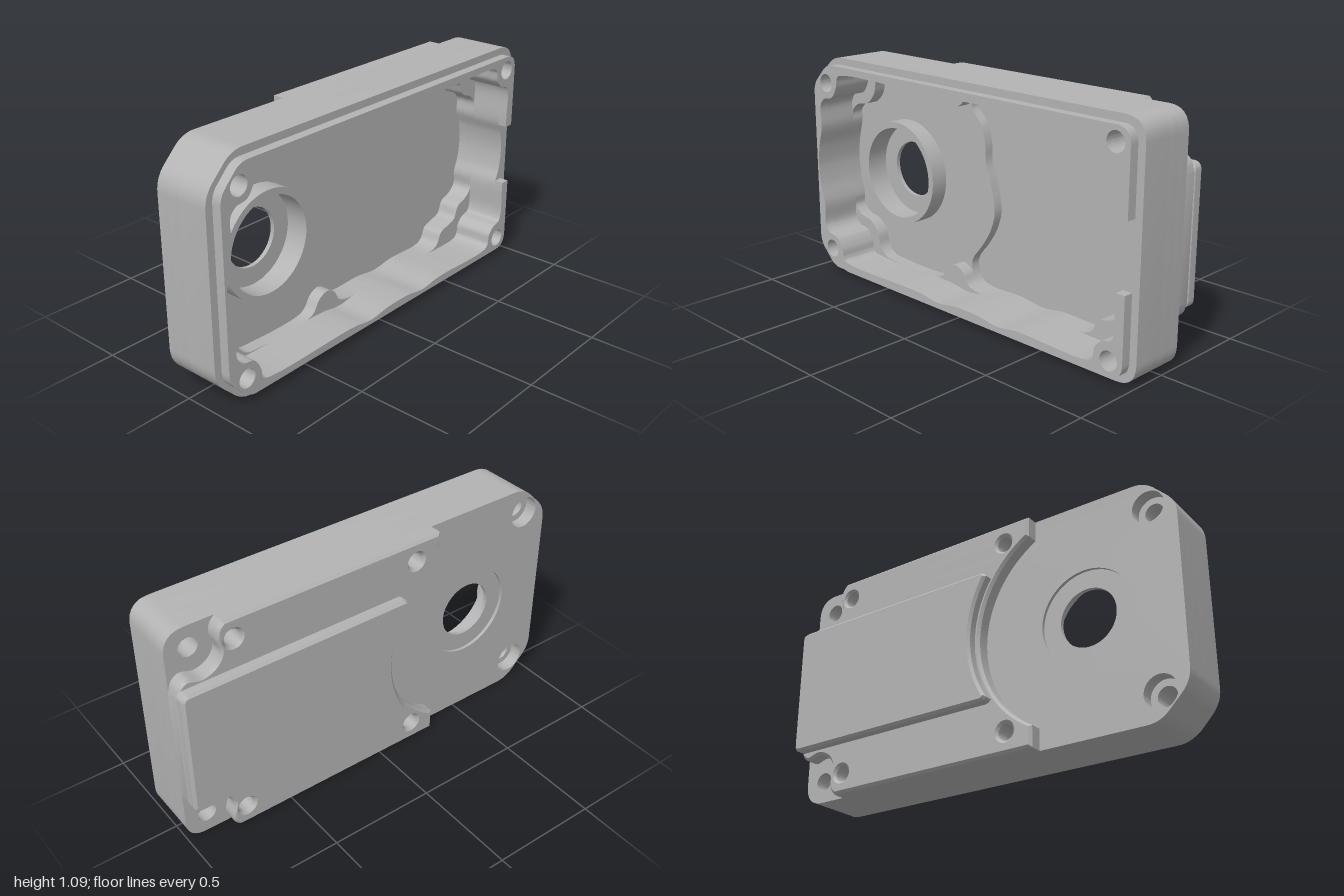
import * as THREE from 'three';
import { toCreasedNormals } from 'three/addons/utils/BufferGeometryUtils.js';

const H = 1.09;                                   // housing height
const BORE = [-0.555, H / 2];                     // bearing centre
const grey = new THREE.MeshStandardMaterial({ color: 0xb3b3b3 });
grey.name = 'cast grey';

const v2 = ([x, y]) => new THREE.Vector2(x, y);
const flip = ([x, y, r]) => [x, H - y, r];
// closes a top-half list with its reflection in the bottom half
const mirrored = (pts) => [...pts, ...pts.map(flip).reverse()];

// polygon with rounded corners, points are [x, y, radius]
function roundPoly(pts) {
  const s = new THREE.Shape(), n = pts.length;
  pts.forEach((p, i) => {
    const c = v2(p), r = p[2] || 0;
    const a = v2(pts[(i + n - 1) % n]).sub(c).setLength(r).add(c);
    const b = v2(pts[(i + 1) % n]).sub(c).setLength(r).add(c);
    if (i === 0) s.moveTo(a.x, a.y); else s.lineTo(a.x, a.y);
    if (r) s.quadraticCurveTo(c.x, c.y, b.x, b.y);
  });
  return s.getPoints(8);
}

// smooth curve through points
function smooth(pts, closed = true, n = 220) {
  const c = new THREE.CatmullRomCurve3(pts.map(([x, y]) => new THREE.Vector3(x, y, 0)), closed, 'centripetal');
  const out = c.getPoints(n).map((p) => new THREE.Vector2(p.x, p.y));
  if (closed) out.pop();
  return out;
}

function circle([x, y], r) {
  return new THREE.Path().absarc(x, y, r, 0, Math.PI * 2).getPoints(32).slice(0, -1);
}

// slab between two z levels, with optional chamfered edges
function slab(name, outline, holes, z0, z1, bevel = 0) {
  const s = new THREE.Shape(outline);
  s.holes = holes.map((h) => new THREE.Path(h));
  const g = new THREE.ExtrudeGeometry(s, {
    depth: z1 - z0 - 2 * bevel, bevelEnabled: bevel > 0, bevelSize: bevel,
    bevelThickness: bevel, bevelOffset: -bevel, bevelSegments: 1, curveSegments: 12,
  });
  g.translate(0, 0, z0 + bevel);
  const m = new THREE.Mesh(toCreasedNormals(g, 0.5), grey);
  m.name = name;
  return m;
}

export function createModel() {
  const group = new THREE.Group();
  group.name = 'gearboxCover';

  // outlines
  const body = roundPoly(mirrored([[1, H, 0.1], [-0.86, H, 0.06], [-1, 0.95, 0.06]]));

  // cavity contours: the upper one hugs the corner holes, the lower one adds the wide bosses
  const rightWall = [[0.957, H / 2], [0.945, 0.64], [0.92, 0.71]];
  const leftWall = [[-0.92, 0.74], [-0.945, 0.64], [-0.955, 0.56]];
  const rightBosses = [
    [0.92, 0.78], [0.88, 0.82], [0.82, 0.845], [0.79, 0.905], [0.74, 0.925], [0.68, 0.945],
    [0.65, 1.0], [0.61, 1.02], [0.4, 1.02], [0.28, 1.035], [0.15, 1.02], [-0.04, 1.02], [-0.1, 1.0],
  ];
  const close = (pts) => mirrored(pts).slice(0, -1);   // first point sits on the mirror line
  const upper = smooth(close([
    ...rightWall, [0.92, 0.86], [0.905, 0.9], [0.86, 0.915], [0.825, 0.95], [0.815, 1.0], [0.79, 1.02],
    [0.4, 1.02], [0.28, 1.035], [0.17, 1.02], [0.02, 1.02], [-0.1, 1.035], [-0.22, 1.02], [-0.72, 1.02],
    [-0.78, 1.005], [-0.795, 0.95], [-0.83, 0.9], [-0.89, 0.885], [-0.92, 0.85], ...leftWall,
  ]), true, 300);
  const lower = smooth(close([
    ...rightWall, ...rightBosses, [-0.13, 0.95], [-0.18, 0.925], [-0.23, 0.945], [-0.27, 1.0], [-0.32, 1.02],
    [-0.62, 1.02], [-0.69, 1.01], [-0.73, 0.97], [-0.75, 0.9], [-0.8, 0.85], [-0.88, 0.83], [-0.92, 0.79],
    ...leftWall,
  ]), true, 300);
  // deep pocket with its wavy left edge
  const right = [...rightWall, ...rightBosses];
  const pocket = smooth([
    ...right, [-0.13, 0.93], [-0.07, 0.85], [-0.045, 0.77], [-0.04, 0.68], [-0.01, 0.59], [0.017, 0.46],
    [-0.01, 0.36], [-0.06, 0.28], [-0.13, 0.18], ...right.slice(1).map(flip).reverse(),
  ], true, 260);

  // holes
  const both = (p) => [p, flip(p)];
  const leftHoles = both([-0.87, 0.965]), rightHoles = both([0.895, 0.99]);
  const bolts = [...leftHoles, ...rightHoles].map((p) => circle(p, 0.044));
  const counterbores = leftHoles.map((p) => circle(p, 0.075));
  const screws = [...both([-0.18, 0.995]), ...both([0.73, 0.995])].map((p) => circle(p, 0.038));

  // housing, back to front
  group.add(slab('backPlate', body,
    [pocket, circle(BORE, 0.24), ...counterbores, ...rightHoles.map((p) => circle(p, 0.044)), ...screws], -0.1, -0.04));
  group.add(slab('lowerWall', body, [lower, ...bolts], -0.04, 0.02));
  group.add(slab('upperWall', body, [upper, ...bolts], 0.02, 0.17));

  // raised sealing lip, open at the right-hand side
  const gapTop = 0.695, gapLow = H - gapTop;
  const lipOuter = roundPoly(mirrored([[0.965, gapTop, 0], [0.965, 1.056, 0.07], [-0.86, 1.056, 0.04], [-0.965, 0.948, 0.04]]));
  const lipInner = upper.filter((p) => !(p.x > 0.9 && p.y > gapLow - 0.03 && p.y < gapTop + 0.03));
  lipInner.push(v2([0.92, gapLow]));
  lipInner.unshift(v2([0.92, gapTop]));
  group.add(slab('sealingLip', [...lipOuter, ...lipInner.reverse()], bolts, 0.17, 0.215));

  // first step on the back: clear of the corner bolts and curved round the bearing
  const cut = smooth([[1, 0.82], [0.985, 0.865], [0.95, 0.89], [0.88, 0.875], [0.82, 0.9], [0.79, 0.95],
    [0.803, 1.02], [0.795, 1.06], [0.77, H]], false, 40);
  const cutLow = cut.map((p) => new THREE.Vector2(p.x, H - p.y)).reverse();
  const arc = (r, a) => new THREE.Path().absarc(BORE[0], BORE[1], r, a, -a, true).getPoints(28);
  const step = [...cutLow, ...cut, v2([-0.31, H]), ...arc(0.51, Math.acos(0.245 / 0.51)), v2([-0.31, 0])];
  group.add(slab('backStep', step, screws, -0.165, -0.085, 0.012));

  // second step, a long raised panel
  const panelArc = arc(0.53, Math.asin(0.29 / 0.53));
  const panel = roundPoly([[1, 0.238, 0.035], [1, 0.855, 0.035], [-0.1, 0.855, 0.02],
    ...panelArc.map((p) => [p.x, p.y, 0]), [-0.1, 0.238, 0.02]]);
  group.add(slab('raisedPanel', panel, [], -0.212, -0.15, 0.012));

  // bearing seat: ring inside, bore, and shallow recess at the back
  const profile = [[0.25, -0.04], [0.25, 0.045], [0.22, 0.045], [0.22, -0.065], [0.135, -0.065],
    [0.135, -0.085], [0.22, -0.085], [0.22, -0.1], [0.24, -0.1]].map(v2);
  const seatGeo = new THREE.LatheGeometry(profile, 64).rotateX(Math.PI / 2);
  const seat = new THREE.Mesh(toCreasedNormals(seatGeo, 0.5), grey);
  seat.name = 'bearingSeat';
  seat.position.set(BORE[0], BORE[1], 0);
  group.add(seat);

  return group;
}
